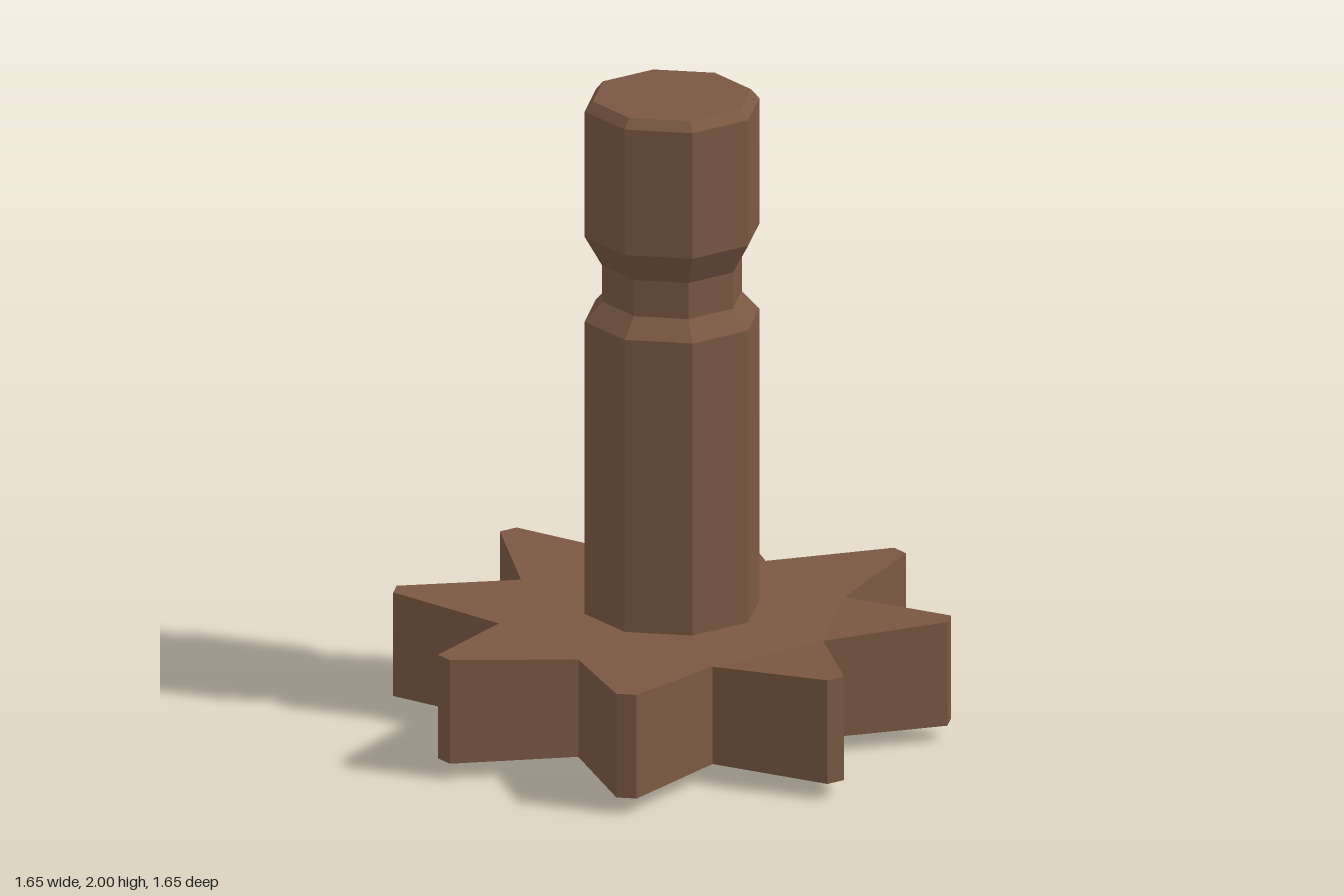
import * as THREE from 'three';

const SIDES = 8, STEP = 360 / SIDES, START = -7.5;

// point at radius r, angle in degrees around the axis, height y
function polar(r, deg, y) {
  const a = THREE.MathUtils.degToRad(deg);
  return new THREE.Vector3(r * Math.cos(a), y, r * Math.sin(a));
}

// toothed wheel: slightly dished top, shallow tapered underside
function wheelGeometry() {
  const pos = [];
  const face = (...pts) => {
    for (let i = 1; i < pts.length - 1; i++)
      for (const p of [pts[0], pts[i], pts[i + 1]]) pos.push(p.x, p.y, p.z);
  };
  for (let i = 0; i < SIDES; i++) {
    const a = START + i * STEP, mid = a + STEP / 2, b = a + STEP;
    // outline of one tooth: valley, blunt tip, next valley
    const outline = [[0.535, a], [0.846, mid - 2.1], [0.846, mid + 2.1], [0.535, b]];
    const low = outline.map(([r, d]) => polar(r, d, 0.05));
    const high = outline.map(([r, d], k) => polar(r, d, k === 1 || k === 2 ? 0.38 : 0.36));
    // tooth top, underside and walls
    face(...high.slice().reverse());
    face(...low);
    for (let k = 0; k < 3; k++) face(low[k + 1], low[k], high[k], high[k + 1]);
    // hub top, tapered underside and flat bottom
    face(polar(0.27, a, 0.37), polar(0.27, b, 0.37), high[3], high[0]);
    face(polar(0.26, a, 0), low[0], low[3], polar(0.26, b, 0));
    face(new THREE.Vector3(), polar(0.26, a, 0), polar(0.26, b, 0));
  }
  // the hub top is listed inward-first, so turn its winding to face up
  const g = new THREE.BufferGeometry();
  const perTooth = pos.length / SIDES, hubTop = perTooth - 45;
  for (let i = 0; i < SIDES; i++)
    for (let t = 0; t < 2; t++) {
      const o = i * perTooth + hubTop + t * 9;
      for (let c = 0; c < 3; c++) [pos[o + 3 + c], pos[o + 6 + c]] = [pos[o + 6 + c], pos[o + 3 + c]];
    }
  for (let o = 0; o < pos.length; o += 9) orientOut(pos, o);
  g.setAttribute('position', new THREE.Float32BufferAttribute(pos, 3));
  g.computeVertexNormals();
  return g;
}

// flip a triangle that faces the wheel's inner ring instead of outwards
function orientOut(pos, o) {
  const [a, b, c] = [0, 3, 6].map(k => new THREE.Vector3().fromArray(pos, o + k));
  const n = b.clone().sub(a).cross(c.clone().sub(a));
  const out = a.clone().add(b).add(c).divideScalar(3).sub(new THREE.Vector3(0, 0.2, 0));
  if (n.dot(out) < 0) { b.toArray(pos, o + 6); c.toArray(pos, o + 3); }
}

export function createModel() {
  const group = new THREE.Group();
  const material = new THREE.MeshStandardMaterial({ color: 0x7a5843, flatShading: true });

  const wheel = new THREE.Mesh(wheelGeometry(), material);
  wheel.name = 'toothedWheel';
  group.add(wheel);

  // octagonal shaft with a grooved neck and bevelled end
  const profile = [
    [0.27, 0.36], [0.27, 1.3], [0.216, 1.36], [0.216, 1.475],
    [0.27, 1.57], [0.27, 1.97], [0.245, 2], [0, 2],
  ].map(([r, y]) => new THREE.Vector2(r, y));
  const shaft = new THREE.Mesh(
    new THREE.LatheGeometry(profile, SIDES, THREE.MathUtils.degToRad(-START)), material);
  shaft.name = 'shaft';
  group.add(shaft);

  return group;
}
